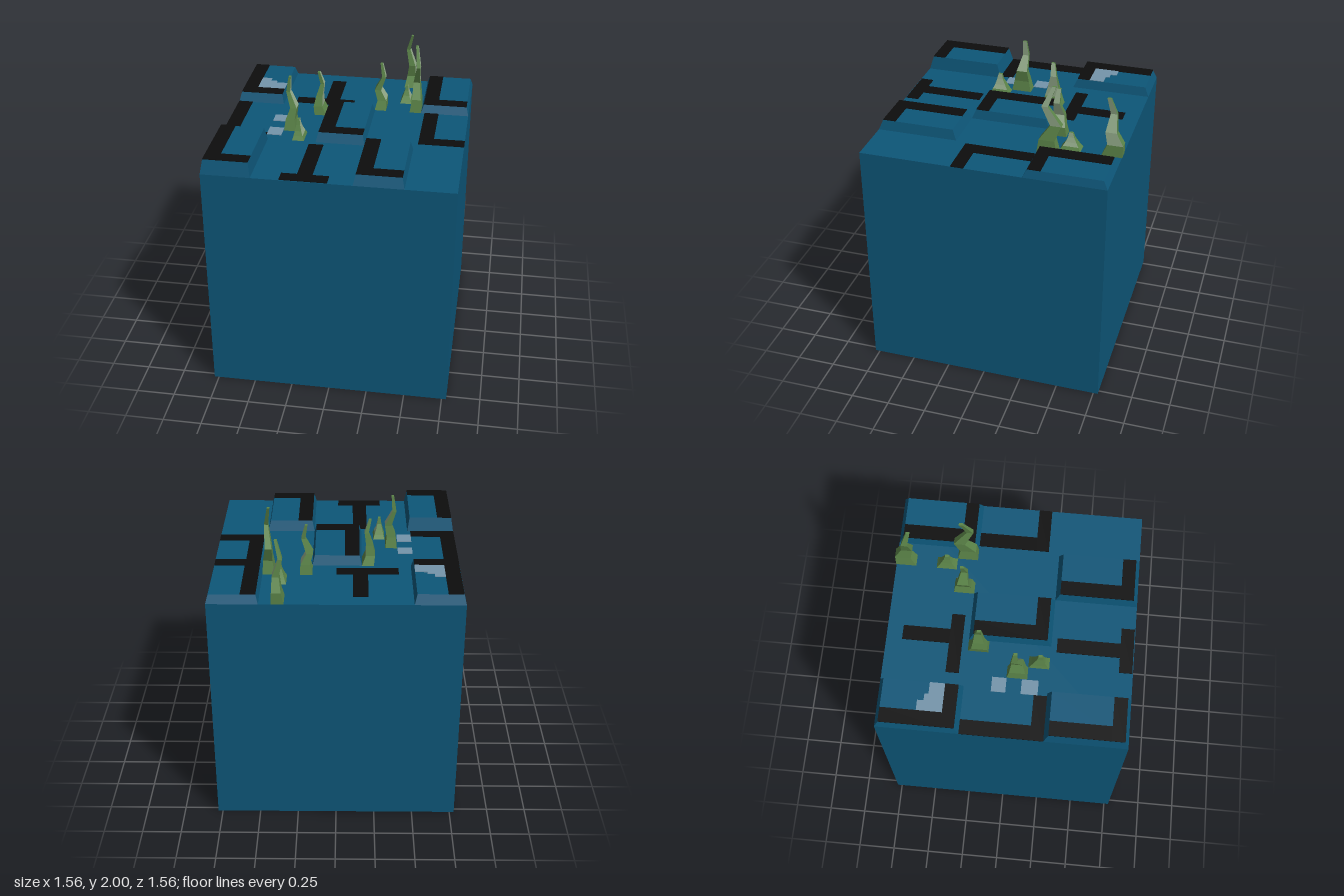
import * as THREE from 'three';

const flat = (name, color) => {
  const m = new THREE.MeshStandardMaterial({ color });
  m.name = name;
  return m;
};

const GROUND = 1.56;
const HALF = 0.78;
const BEVEL_X = 0.015, BEVEL_Z = 0.027;

// Heights of a plant's joints, as fractions of its full height
const JOINTS = [0, 0.2, 0.42, 0.71, 1];

function box(x0, x1, y0, y1, z0, z1) {
  return new THREE.BoxGeometry(x1 - x0, y1 - y0, z1 - z0)
    .translate((x0 + x1) / 2, (y0 + y1) / 2, (z0 + z1) / 2);
}

// Box whose upper face is drawn in on all sides
function slabGeometry(x0, x1, z0, z1, top) {
  const g = box(x0, x1, GROUND, top, z0, z1).toNonIndexed();
  const p = g.attributes.position;
  for (let i = 0; i < p.count; i++) {
    if (p.getY(i) < GROUND + 0.01) continue;
    p.setX(i, p.getX(i) - Math.sign(p.getX(i) - (x0 + x1) / 2) * BEVEL_X);
    p.setZ(i, p.getZ(i) - Math.sign(p.getZ(i) - (z0 + z1) / 2) * BEVEL_Z);
  }
  g.computeVertexNormals();
  return g;
}

// Four-sided tapering stalk along a crooked spine;
// upper faces toward +x go in the second group
function plantGeometry(top, paleFrom, xs, zs) {
  const rings = JOINTS.map((t, i) => {
    const y = GROUND + t * (top - GROUND);
    const taper = (1 - t) ** 1.5;
    const w = 0.008 + 0.03 * taper, d = 0.012 + 0.053 * taper;
    return [[-w, d], [w, d], [w, -d], [-w, -d]].map(([dx, dz]) => [xs[i] + dx, y, zs[i] + dz]);
  });
  const green = [], pale = [];
  const quad = (out, a, b, c, d) => out.push(...a, ...b, ...c, ...a, ...c, ...d);
  for (let i = 0; i < rings.length - 1; i++) {
    const lo = rings[i], hi = rings[i + 1];
    for (let s = 0; s < 4; s++) {
      const t = (s + 1) % 4;
      quad(s === 1 && i >= paleFrom ? pale : green, lo[s], lo[t], hi[t], hi[s]);
    }
  }
  quad(green, ...rings[rings.length - 1]);
  const g = new THREE.BufferGeometry();
  g.setAttribute('position', new THREE.Float32BufferAttribute([...green, ...pale], 3));
  g.addGroup(0, green.length / 3, 0);
  g.addGroup(green.length / 3, pale.length / 3, 1);
  g.computeVertexNormals();
  return g;
}

export function createModel() {
  const blue = flat('deep blue', 0x0d5678);
  const black = flat('black', 0x0d0d0d);
  const grey = flat('pale blue grey', 0x7595ab);
  const leaf = flat('leaf green', 0x5c8549);
  const paleLeaf = flat('pale green', 0x93ab8a);

  const model = new THREE.Group();
  const add = (name, geometry, material) => {
    const mesh = new THREE.Mesh(geometry, material);
    mesh.name = name;
    model.add(mesh);
  };
  const plate = (name, material, y, x0, x1, z0, z1) =>
    add(name, box(x0, x1, y, y + 0.004, z0, z1), material);

  // Dark mark: a bar along the front edge and a stem running back from it
  const mark = (y, x0, x1, z0, z1, stemX = x0) => {
    plate('markStem', black, y, stemX, stemX + 0.094, z0, z1 - 0.083);
    plate('markBar', black, y, x0, x1, z1 - 0.083, z1);
  };

  // Raised slab with an L mark filling its upper face
  const slab = (name, x0, x1, z0, z1, top) => {
    add(name, slabGeometry(x0, x1, z0, z1, top), blue);
    mark(top, x0 + BEVEL_X, x1 - BEVEL_X, z0 + BEVEL_Z, z1 - BEVEL_Z);
  };

  const plant = (top, paleFrom, xs, zs) =>
    add('plant', plantGeometry(top, paleFrom, xs, zs), [leaf, paleLeaf]);

  // Main block
  add('block', box(-HALF, HALF, 0, GROUND, -HALF, HALF), blue);

  // Slabs
  slab('backRightSlab', -HALF, -0.47, -HALF, -0.26, 1.62);
  slab('frontRightSlab', -HALF, -0.47, 0.26, HALF, 1.65);
  slab('centreSlab', -0.16, 0.155, -0.26, 0.26, 1.62);
  slab('frontLeftSlab', 0.155, 0.465, 0.26, HALF, 1.625);
  slab('backLeftSlab', 0.465, HALF, -HALF, -0.26, 1.612);

  // Marks on the ground: two L shapes and two T shapes
  mark(GROUND, -HALF, -0.49, -0.26, 0.26);
  mark(GROUND, 0.488, HALF, -0.26, 0.19);
  mark(GROUND, -0.39, 0, -0.68, -0.3, -0.197);
  mark(GROUND, -0.295, 0, 0.295, 0.775, -0.197);

  // Pale patches: a stepped one on the back slab and two squares
  plate('palePatch', grey, 1.62, -0.671, -0.485, -0.465, -0.37);
  plate('palePatchStep', grey, 1.62, -0.671, -0.605, -0.53, -0.465);
  plate('palePatchStep', grey, 1.62, -0.605, -0.56, -0.49, -0.465);
  plate('palePatch', grey, GROUND, -0.49, -0.395, -0.09, 0);
  plate('palePatch', grey, GROUND, -0.49, -0.395, 0.095, 0.2);

  // Crooked plants
  plant(1.91, 2, [-0.353, -0.352, -0.332, -0.37, -0.358], [0.063, 0.063, 0.06, 0.045, 0.05]);
  plant(1.69, 1, [-0.275, -0.276, -0.278, -0.278, -0.278], [0.193, 0.194, 0.195, 0.199, 0.198]);
  plant(1.85, 1, [-0.198, -0.213, -0.207, -0.188, -0.21], [-0.195, -0.188, -0.191, -0.195, -0.185]);
  plant(1.875, 1, [0.19, 0.197, 0.168, 0.207, 0.188], [-0.325, -0.33, -0.33, -0.32, -0.33]);
  plant(2, 2, [0.425, 0.43, 0.422, 0.437, 0.418], [-0.325, -0.322, -0.375, -0.305, -0.357]);
  plant(1.94, 1, [0.35, 0.356, 0.36, 0.33, 0.357], [-0.717, -0.735, -0.705, -0.71, -0.682]);
  plant(1.67, 1, [0.348, 0.348, 0.348, 0.349, 0.35], [-0.455, -0.455, -0.455, -0.453, -0.452]);

  return model;
}
